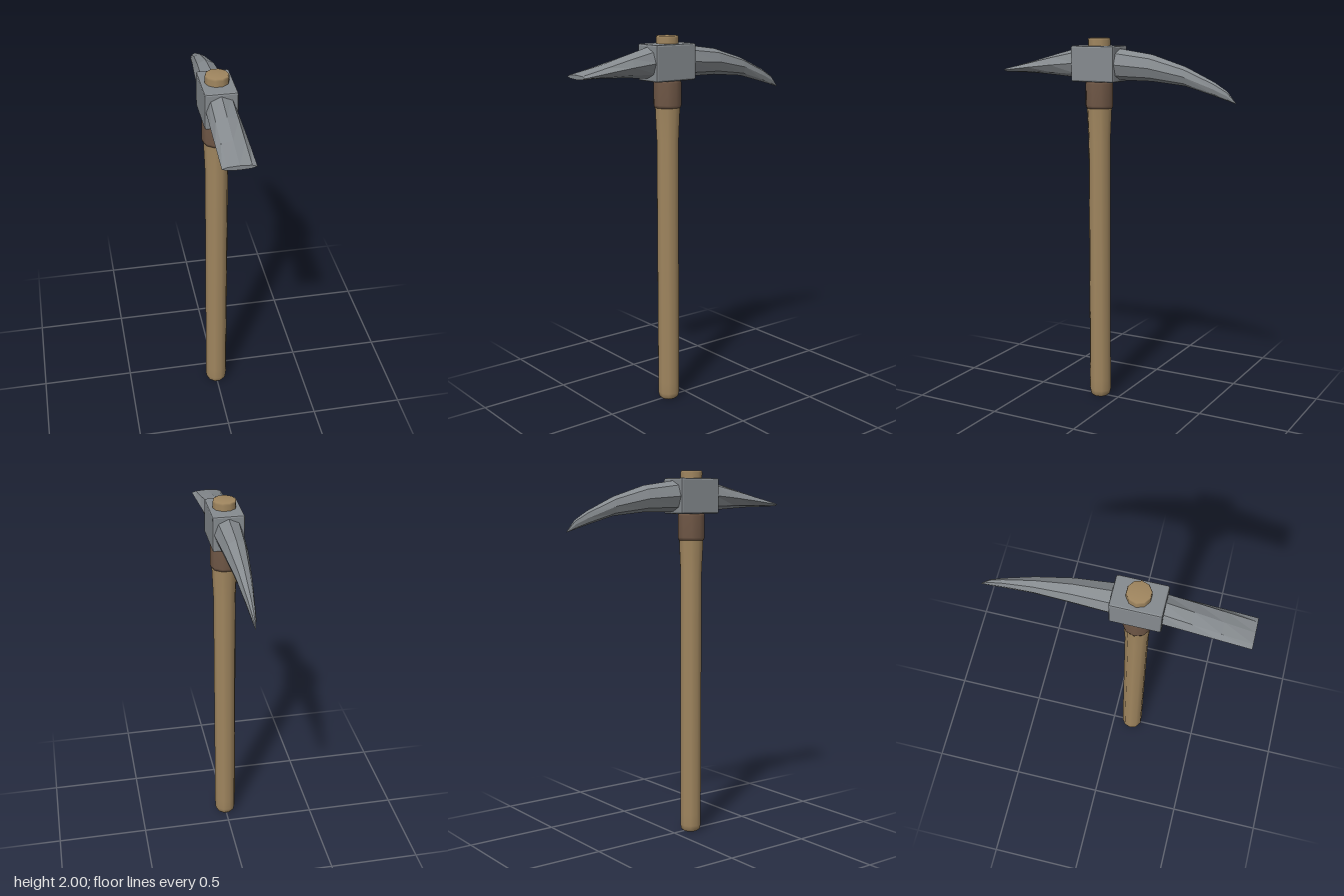
import * as THREE from 'three';
import { RoundedBoxGeometry } from 'three/addons/geometries/RoundedBoxGeometry.js';

const SHAFT_Z = 0.115;

const material = (name, color, flatShading = false) => {
  const m = new THREE.MeshStandardMaterial({ color, flatShading });
  m.name = name;
  return m;
};

// Closed eight-sided loft along z; rows are [z, half width, bottom y, top y] with z rising
function loft(rows, sides = 8) {
  const rings = rows.map(([z, w, bottom, top]) =>
    Array.from({ length: sides }, (_, j) => {
      const a = (j / sides) * Math.PI * 2;
      return [w * Math.cos(a), (top + bottom) / 2 + ((top - bottom) / 2) * Math.sin(a), z];
    }));
  const centres = rows.map(([z, , bottom, top]) => [0, (top + bottom) / 2, z]);
  const last = rows.length - 1;
  const corners = [];
  for (let j = 0; j < sides; j++) {
    const k = (j + 1) % sides;
    for (let i = 0; i < last; i++) {
      const a = rings[i], b = rings[i + 1];
      corners.push(a[j], a[k], b[k], a[j], b[k], b[j]);
    }
    corners.push(centres[last], rings[last][j], rings[last][k]);
    corners.push(centres[0], rings[0][k], rings[0][j]);
  }
  const g = new THREE.BufferGeometry();
  g.setAttribute('position', new THREE.Float32BufferAttribute(corners.flat(), 3));
  g.computeVertexNormals();
  return g;
}

// Ten-sided turned part around the shaft axis; points are [radius, y]
function turned(points) {
  const g = new THREE.LatheGeometry(points.map(([r, y]) => new THREE.Vector2(r, y)), 10, Math.PI / 2);
  return g.translate(0, 0, SHAFT_Z);
}

export function createModel() {
  const group = new THREE.Group();
  const wood = material('wood', 0xa0865f);
  const leather = material('leather', 0x6f5746);
  const steel = material('steel', 0x868b8f, true);

  const add = (name, geometry, mat) => {
    const mesh = new THREE.Mesh(geometry, mat);
    mesh.name = name;
    group.add(mesh);
  };

  // Wooden shaft, flaring below the head
  add('handle', turned([
    [0, 0], [0.046, 0], [0.055, 0.012], [0.06, 0.035], [0.06, 0.1],
    [0.06, 1.45], [0.068, 1.63], [0.068, 1.75], [0.061, 1.8], [0.061, 1.99], [0.057, 2], [0, 2],
  ]), wood);

  // Binding under the head
  add('collar', turned([
    [0.06, 1.63], [0.071, 1.63], [0.0755, 1.645], [0.0755, 1.76], [0.072, 1.775], [0.06, 1.775],
  ]), leather);

  // Square eye of the head
  const eye = new RoundedBoxGeometry(0.164, 0.188, 0.253, 1, 0.009);
  add('headBlock', eye.translate(0, 1.866, 0.1165), steel);

  // Curved pick at the back
  add('spike', loft([
    [-0.667, 0.001, 1.685, 1.688],
    [-0.62, 0.011, 1.699, 1.746],
    [-0.55, 0.02, 1.72, 1.789],
    [-0.39, 0.039, 1.764, 1.862],
    [-0.2, 0.06, 1.782, 1.92],
    [0.01, 0.075, 1.783, 1.949],
  ]), steel);

  // Flattened chisel blade at the front
  add('blade', loft([
    [0.22, 0.075, 1.786, 1.952],
    [0.375, 0.078, 1.798, 1.912],
    [0.52, 0.08, 1.806, 1.872],
    [0.672, 0.081, 1.809, 1.832],
  ]), steel);

  return group;
}
